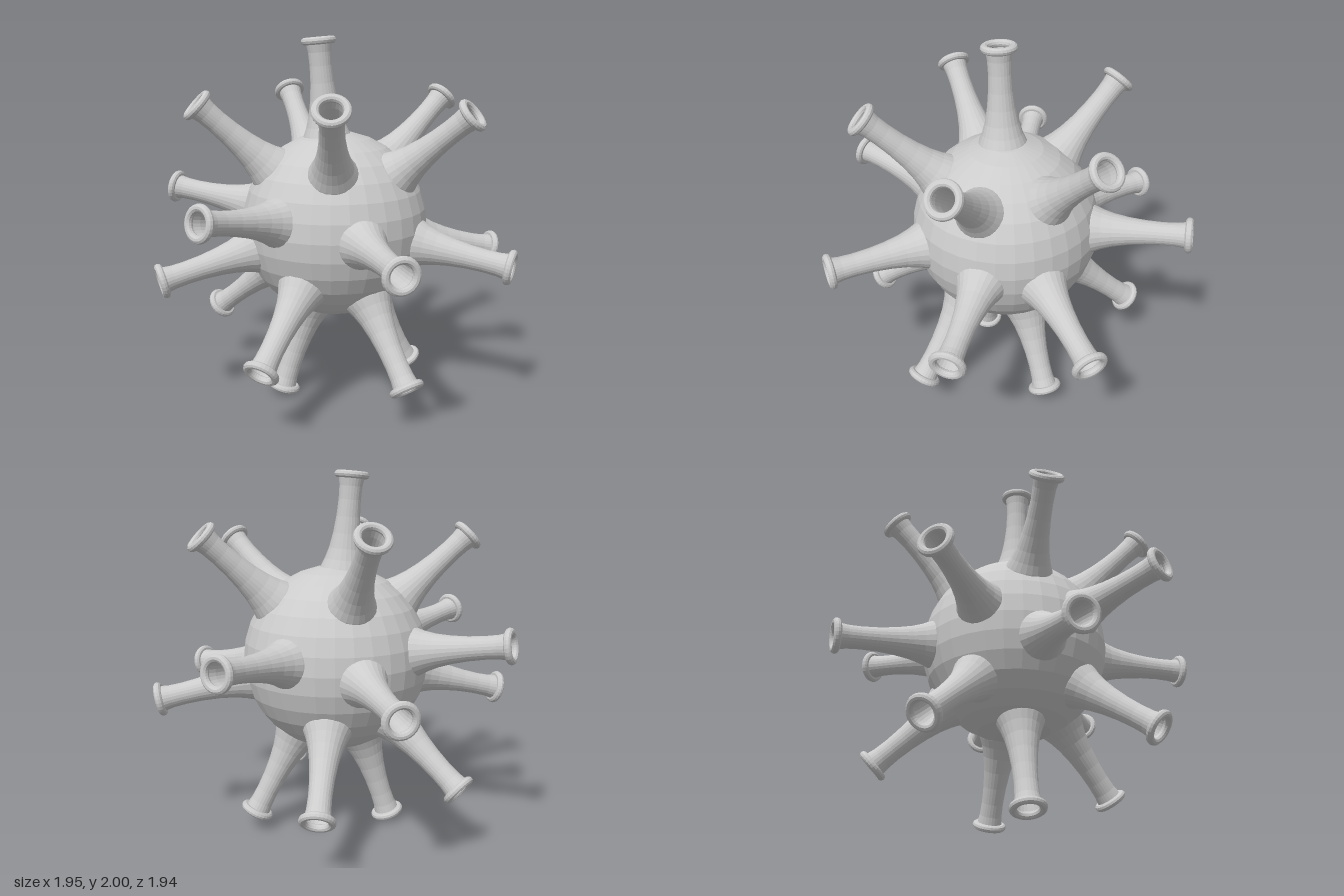
import * as THREE from 'three';

const CENTRE = new THREE.Vector3(0.03, 0.99, 0.015);
const BODY_RADIUS = 0.51;
const SPIKE_LENGTH = 0.99;

// Centres of the spike tips
const TIPS = [
  [-0.05, 1.985, -0.025], [-0.475, 1.67, 0.54], [-0.64, 1.66, -0.31], [0.285, 1.615, 0.74],
  [0.265, 1.685, -0.655], [0.735, 1.66, 0.17], [-0.945, 1.16, 0.155], [0.94, 1.095, -0.395],
  [-0.405, 0.97, 0.925], [0.425, 0.845, 0.91], [0.895, 0.78, 0.435], [-0.875, 0.755, -0.335],
  [-0.73, 0.4, 0.31], [-0.245, 0.035, -0.12], [-0.045, 0.225, 0.65], [0.46, 0.11, 0.18],
  [0.51, 0.34, -0.555], [-0.25, 0.37, -0.74], [-0.46, 1.14, -0.85], [0.31, 0.91, -0.935],
];

// Radius and distance from the body centre along a spike
const PROFILE = [
  [0.134, 0.47], [0.126, 0.495], [0.107, 0.54], [0.089, 0.6], [0.074, 0.68],
  [0.064, 0.77], [0.06, 0.86], [0.062, 0.93], [0.071, SPIKE_LENGTH],
];

export function createModel() {
  const model = new THREE.Group();
  model.name = 'spikedBall';
  const solid = new THREE.MeshStandardMaterial({ color: 0xcccccc, flatShading: true });
  const open = new THREE.MeshStandardMaterial({ color: 0xcccccc, flatShading: true, side: THREE.DoubleSide });

  // Round body
  const body = new THREE.Mesh(new THREE.SphereGeometry(BODY_RADIUS, 32, 16), solid);
  body.name = 'body';
  body.position.copy(CENTRE);
  model.add(body);

  // Hollow flared stem and rolled rim, shared by all spikes
  const stemGeometry = new THREE.LatheGeometry(PROFILE.map(([r, d]) => new THREE.Vector2(r, d)), 24);
  const rimGeometry = new THREE.TorusGeometry(0.074, 0.02, 10, 28);
  rimGeometry.rotateX(Math.PI / 2);
  rimGeometry.translate(0, SPIKE_LENGTH, 0);

  const up = new THREE.Vector3(0, 1, 0);
  for (const tip of TIPS) {
    const spike = new THREE.Group();
    spike.name = 'spike';
    const stem = new THREE.Mesh(stemGeometry, open);
    stem.name = 'spikeStem';
    const rim = new THREE.Mesh(rimGeometry, solid);
    rim.name = 'spikeRim';
    spike.add(stem, rim);

    // Point the spike outward from the body centre
    const direction = new THREE.Vector3(...tip).sub(CENTRE).normalize();
    spike.quaternion.setFromUnitVectors(up, direction);
    spike.position.copy(CENTRE);
    model.add(spike);
  }
  return model;
}
